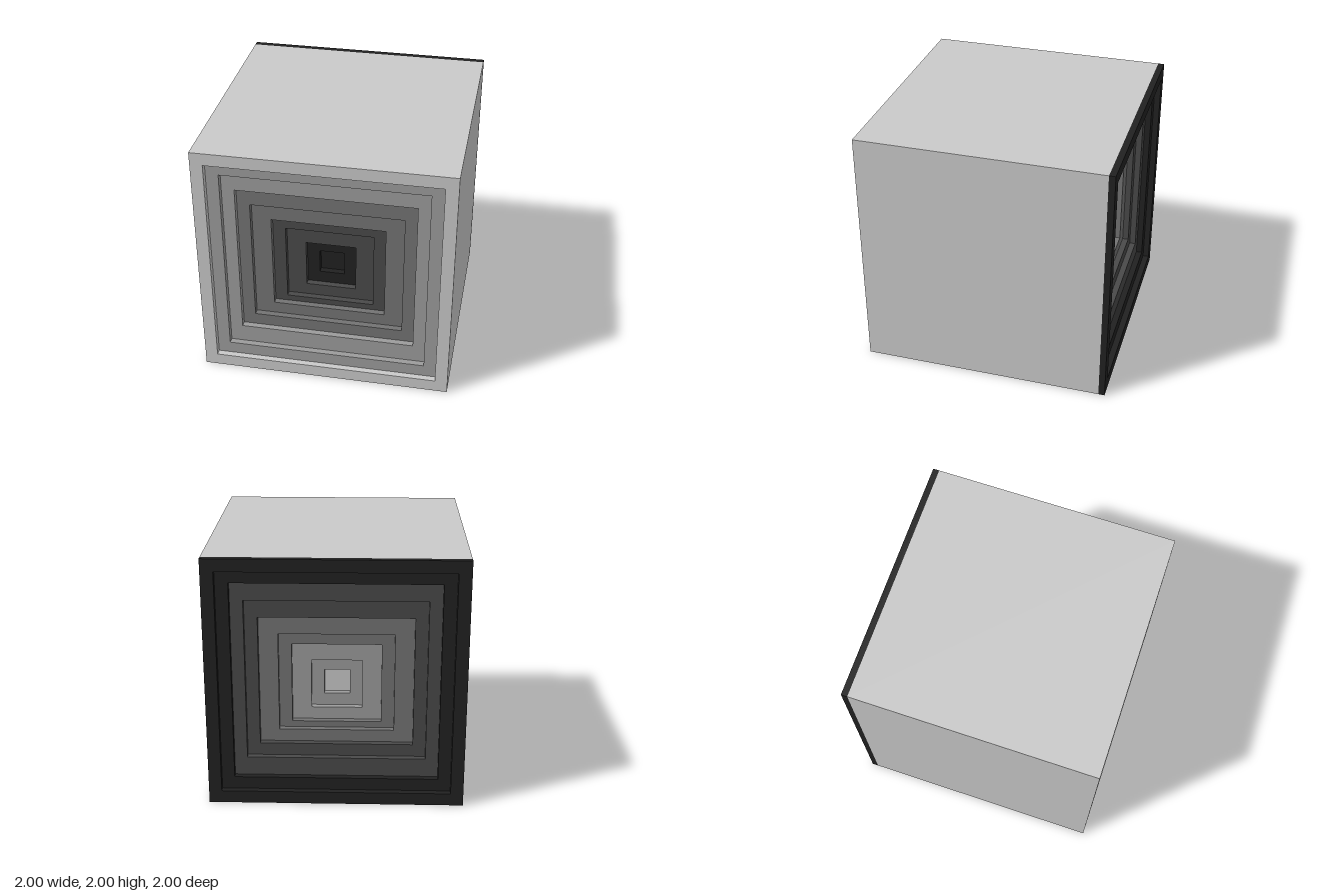
import * as THREE from 'three';

const flat = (name, hex) => {
  const m = new THREE.MeshStandardMaterial({ color: hex });
  m.name = name;
  return m;
};

// Nested rectangles, outermost first: half width, bottom, top
const RECTS = [
  [1, 0, 2], [0.9, 0.1, 1.9], [0.8, 0.2, 1.8], [0.7, 0.35, 1.65], [0.6, 0.45, 1.5],
  [0.45, 0.55, 1.35], [0.35, 0.6, 1.25], [0.2, 0.7, 1.1], [0.1, 0.8, 1.0],
];
const STEP = 0.05;

function trace(path, [w, bottom, top]) {
  path.moveTo(-w, bottom);
  path.lineTo(w, bottom);
  path.lineTo(w, top);
  path.lineTo(-w, top);
  path.closePath();
  return path;
}

// Rectangular slab from z = 0 to z = depth, with an optional opening
function frame(outer, inner, depth) {
  const shape = trace(new THREE.Shape(), outer);
  if (inner) shape.holes.push(trace(new THREE.Path(), inner));
  return new THREE.ExtrudeGeometry(shape, { depth, bevelEnabled: false });
}

export function createModel() {
  const light = flat('lightGrey', 0xc9c9c9);
  const silver = flat('silverGrey', 0x9c9c9c);
  const mid = flat('midGrey', 0x737373);
  const dark = flat('darkGrey', 0x494949);
  const black = flat('nearBlack', 0x212121);

  const model = new THREE.Group();
  model.name = 'steppedCube';

  // Outer shell, which is also the front rim
  const shell = new THREE.Mesh(frame(RECTS[0], RECTS[1], 2 - STEP), light);
  shell.name = 'shell';
  shell.position.z = -1 + STEP;
  model.add(shell);

  // Stepped frames sinking inwards; the last one is the solid floor
  const addSteps = (name, side, colours, first) => {
    const group = new THREE.Group();
    group.name = name;
    for (let k = first; k < RECTS.length; k++) {
      const mesh = new THREE.Mesh(frame(RECTS[k], RECTS[k + 1], STEP), colours[k]);
      mesh.name = k === RECTS.length - 1 ? `${name}Floor` : `${name}Frame${k}`;
      mesh.position.z = side > 0 ? 1 - (k + 1) * STEP : -1 + k * STEP;
      group.add(mesh);
    }
    model.add(group);
  };
  addSteps('frontRecess', 1, [light, silver, silver, mid, mid, dark, dark, black, black], 1);
  addSteps('backRecess', -1, [black, black, dark, dark, mid, mid, silver, silver, light], 0);

  return model;
}
